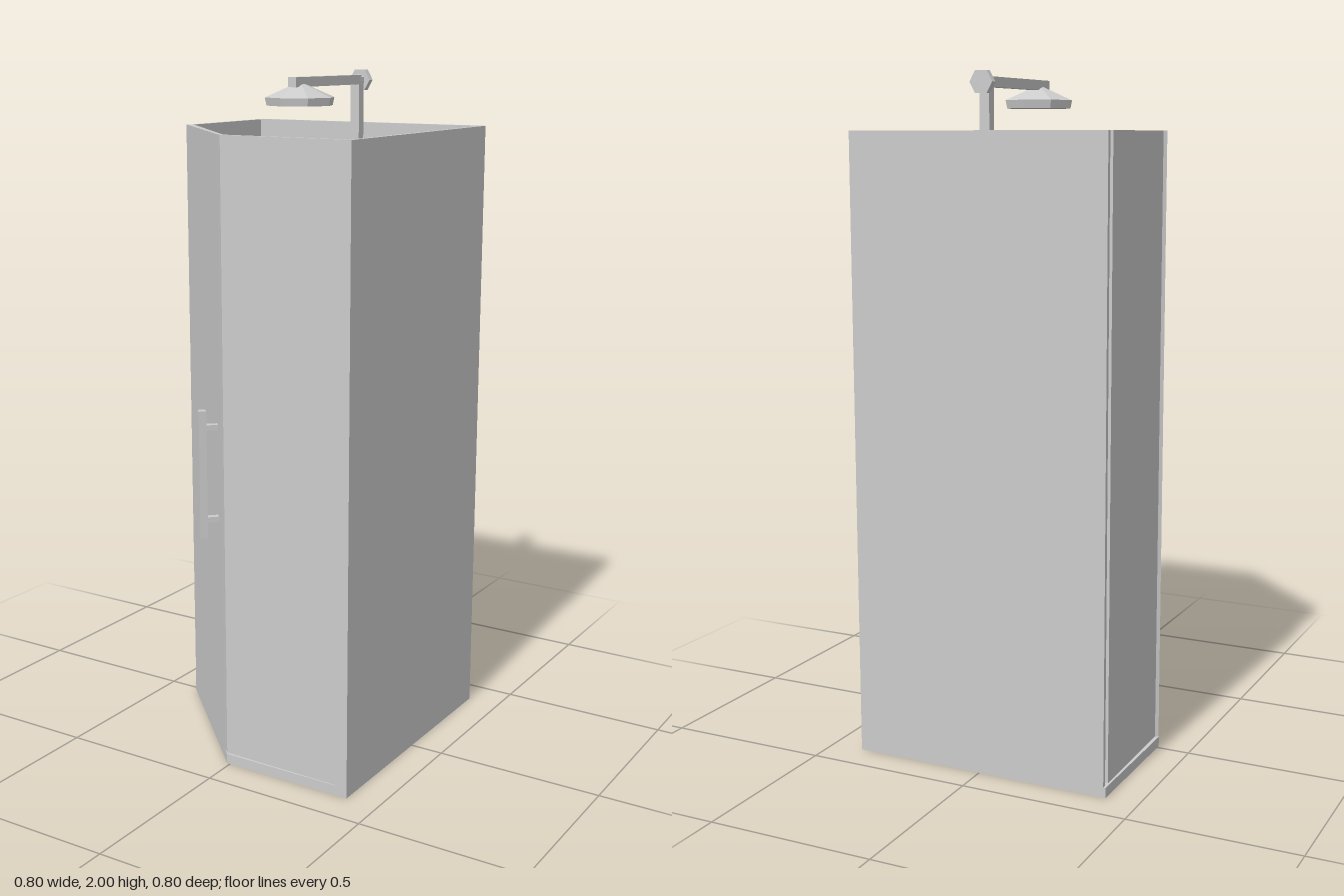
import * as THREE from 'three';

const TOP = 1.84;
const TRAY = 0.03;

function material() {
  return new THREE.MeshStandardMaterial({ color: 0xcccccc, flatShading: true, side: THREE.DoubleSide });
}

function add(parent, name, geometry, x = 0, y = 0, z = 0) {
  const mesh = new THREE.Mesh(geometry, material());
  mesh.name = name;
  mesh.position.set(x, y, z);
  parent.add(mesh);
  return mesh;
}

// Upright prism over a floor plan given as [x, z] points
function prism(plan, y0, y1) {
  const shape = new THREE.Shape(plan.map(([x, z]) => new THREE.Vector2(x, -z)));
  const geometry = new THREE.ExtrudeGeometry(shape, { depth: y1 - y0, bevelEnabled: false });
  return geometry.rotateX(-Math.PI / 2).translate(0, y0, 0);
}

// Box between opposite corners
function block(parent, name, [x0, y0, z0], [x1, y1, z1]) {
  return add(parent, name, new THREE.BoxGeometry(x1 - x0, y1 - y0, z1 - z0),
    (x0 + x1) / 2, (y0 + y1) / 2, (z0 + z1) / 2);
}

export function createModel() {
  const model = new THREE.Group();
  model.name = 'showerCubicle';

  // Floor tray with one cut corner
  add(model, 'tray', prism(
    [[-0.4, -0.4], [0.4, -0.4], [0.4, 0.395], [-0.01, 0.395], [-0.4, 0.012]], 0, TRAY));

  // Solid back and side walls
  block(model, 'backWall', [-0.393, 0, -0.4], [0.4, TOP, -0.387]);
  block(model, 'sideWall', [0.387, 0, -0.387], [0.4, TOP, 0.393]);

  // Bent glass screen along the open sides
  const outer = [[-0.393, -0.367], [-0.388, 0.015], [-0.015, 0.387], [0.365, 0.392]];
  const inner = [[0.365, 0.38], [-0.01, 0.375], [-0.376, 0.007], [-0.38, -0.367]];
  add(model, 'glassScreen', prism([...outer, ...inner], TRAY, TOP));

  // Thin strip closing the screen against the side wall
  block(model, 'cornerSeal', [0.36, 0, 0.391], [0.4, TOP, 0.395]);

  // Door across the cut corner
  add(model, 'door', prism(
    [[-0.398, 0.014], [-0.03, 0.3755], [-0.026, 0.371], [-0.39, 0.008]], TRAY, TOP));

  // Door handle, its local z pointing out of the door
  const handle = new THREE.Group();
  handle.name = 'doorHandle';
  handle.position.set(-0.104, 0, 0.366);
  handle.rotation.y = -Math.PI / 4;
  add(handle, 'handleBar', new THREE.BoxGeometry(0.024, 0.38, 0.022), 0, 0.87, 0);
  for (const y of [0.735, 1.01]) {
    add(handle, 'handleStandoff', new THREE.BoxGeometry(0.02, 0.016, 0.05), 0, y, -0.03);
  }
  model.add(handle);

  // Riser pipe and overhead arm
  block(model, 'riserPipe', [-0.015, TRAY, -0.341], [0.015, 1.96, -0.313]);
  block(model, 'showerArm', [-0.014, 1.957, -0.33], [0.014, 1.985, 0.046]);

  // Tapered hexagonal collar and knob behind the arm
  const collar = new THREE.CylinderGeometry(0.015, 0.018, 0.03, 6).rotateX(Math.PI / 2);
  add(model, 'armCollar', collar, 0, 1.97, -0.327);
  const knob = new THREE.CylinderGeometry(0.035, 0.035, 0.02, 6);
  knob.rotateY(Math.PI / 2).rotateX(Math.PI / 2);
  add(model, 'knob', knob, 0, 1.97, -0.351);

  // Eight-sided shower head
  const profile = [[0, 1.905], [0.098, 1.905], [0.103, 1.928], [0.045, 1.953], [0, 1.972]]
    .map(([r, y]) => new THREE.Vector2(r, y));
  add(model, 'showerHead', new THREE.LatheGeometry(profile, 8), 0, 0, 0.004);

  return model;
}
